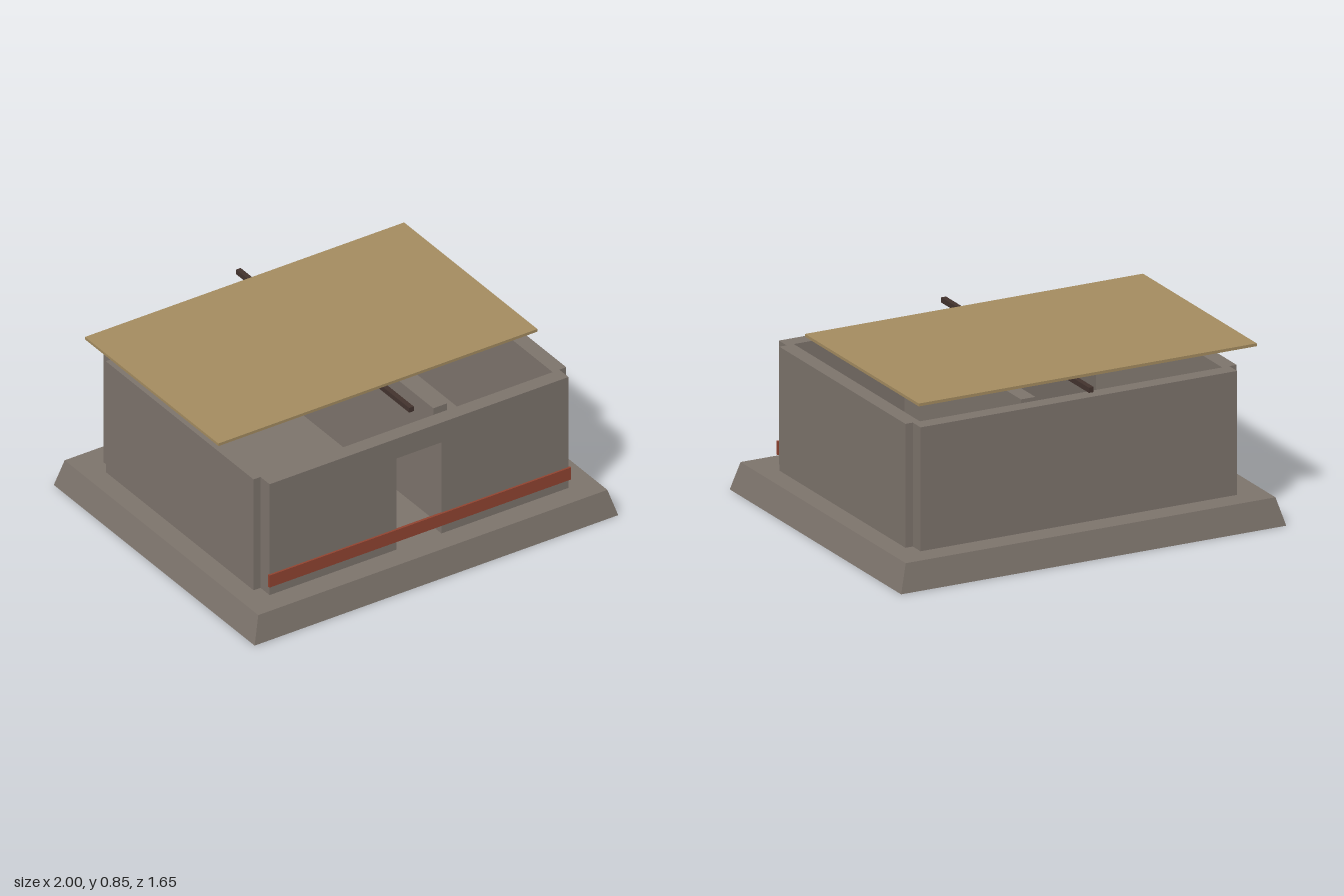
import * as THREE from 'three';

const material = (name, color) => {
  const m = new THREE.MeshStandardMaterial({ color });
  m.name = name;
  return m;
};

export function createModel() {
  const model = new THREE.Group();
  model.name = 'stoneHouse';
  const stone = material('stone', 0x7d746c);
  const thatch = material('thatch', 0xa48c60);
  const red = material('redOchre', 0x914431);
  const wood = material('darkWood', 0x43332e);

  const add = (name, geometry, mat, parent = model) => {
    const mesh = new THREE.Mesh(geometry, mat);
    mesh.name = name;
    parent.add(mesh);
    return mesh;
  };
  // Box given by its extents along each axis
  const block = (name, mat, [x0, x1], [y0, y1], [z0, z1], parent) => {
    const g = new THREE.BoxGeometry(x1 - x0, y1 - y0, z1 - z0);
    g.translate((x0 + x1) / 2, (y0 + y1) / 2, (z0 + z1) / 2);
    return add(name, g, mat, parent);
  };

  // Plinth with sloping sides
  const floorY = 0.135, topY = 0.735;
  const plinth = new THREE.BoxGeometry(2, floorY, 1.65).toNonIndexed();
  plinth.translate(0, floorY / 2, 0);
  const p = plinth.attributes.position;
  for (let i = 0; i < p.count; i++) {
    if (p.getY(i) > 0.01) {
      p.setX(i, Math.sign(p.getX(i)) * 0.96);
      p.setZ(i, Math.sign(p.getZ(i)) * 0.795);
    }
  }
  plinth.computeVertexNormals();
  add('plinth', plinth, stone);

  // Walls, leaving small notches at the corners
  const walls = new THREE.Group();
  walls.name = 'walls';
  model.add(walls);
  const height = [floorY, topY];
  block('backWall', stone, [-0.822, 0.822], height, [-0.682, -0.607], walls);
  for (const s of [-1, 1]) {
    const x = [s * 0.785, s * 0.86].sort((a, b) => a - b);
    block(s > 0 ? 'leftWall' : 'rightWall', stone, x, height, [-0.607, 0.607], walls);
  }
  block('partition', stone, [0.16, 0.235], height, [-0.56, 0.56], walls);

  // Front wall with an open doorway
  const front = new THREE.Shape([
    [-0.822, floorY], [-0.123, floorY], [-0.123, 0.628], [0.123, 0.628],
    [0.123, floorY], [0.822, floorY], [0.822, topY], [-0.822, topY],
  ].map(([x, y]) => new THREE.Vector2(x, y)));
  const frontGeometry = new THREE.ExtrudeGeometry(front, { depth: 0.075, bevelEnabled: false });
  frontGeometry.translate(0, 0, 0.607);
  add('frontWall', frontGeometry, stone, walls);

  // Painted band, ridge beam and offset roof sheet
  block('redBand', red, [-0.83, 0.83], [0.183, 0.248], [0.679, 0.692]);
  block('ridgeBeam', wood, [-0.0125, 0.0125], [0.804, 0.829], [-0.802, 0.62]);
  block('roofSheet', thatch, [-0.925, 0.83], [0.837, 0.851], [-0.68, 0.415]);

  return model;
}
